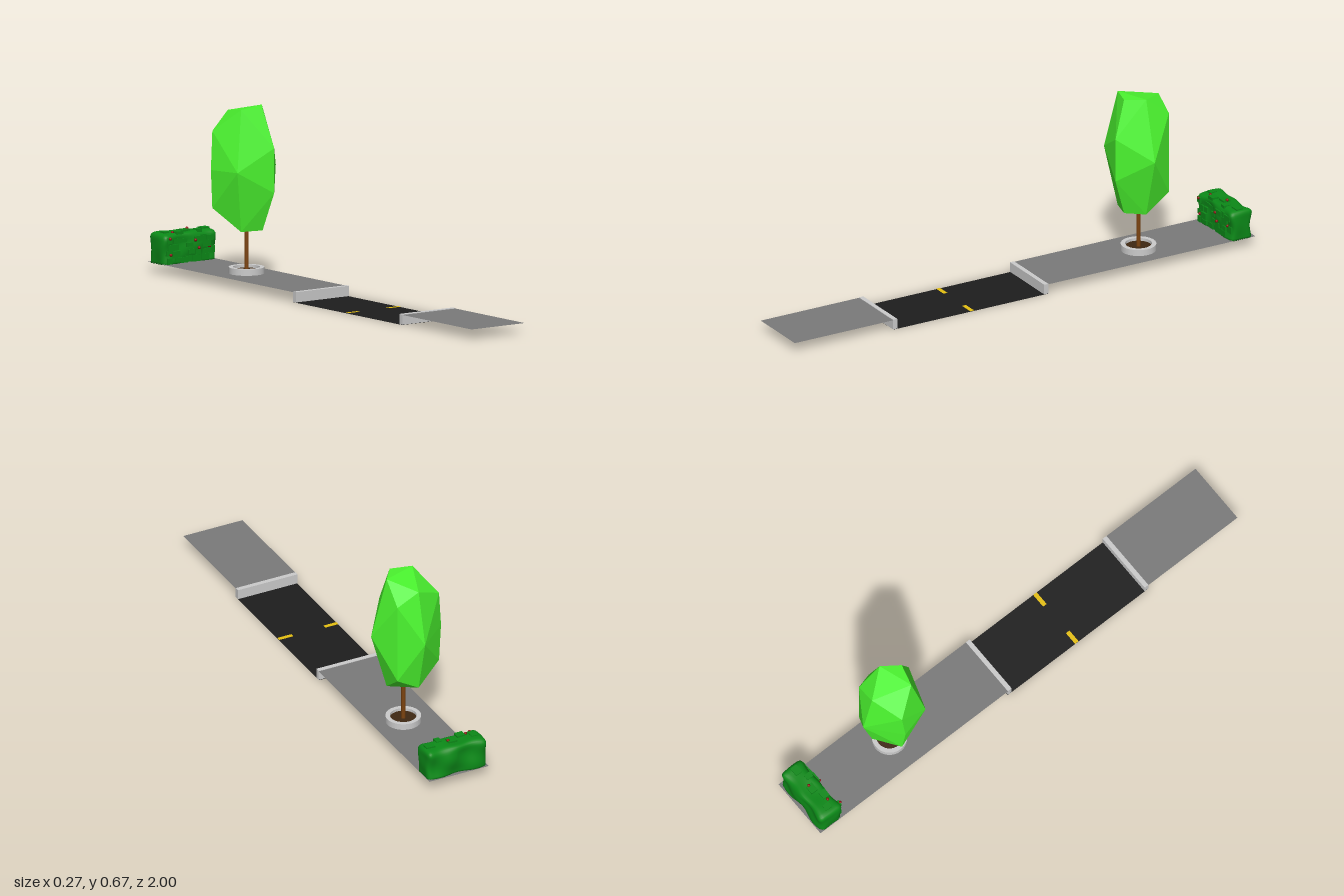
import * as THREE from 'three';
import { ConvexGeometry } from 'three/addons/geometries/ConvexGeometry.js';
import { mergeVertices } from 'three/addons/utils/BufferGeometryUtils.js';

const CX = -0.005, WIDTH = 0.25, LEVEL = 0.038;

function material(color, extra = {}) {
  const m = new THREE.MeshStandardMaterial(extra);
  m.color.setHex(color);
  return m;
}

function add(parent, name, geometry, mat, x = 0, y = 0, z = 0) {
  const mesh = new THREE.Mesh(geometry, mat);
  mesh.name = name;
  mesh.position.set(x, y, z);
  parent.add(mesh);
  return mesh;
}

// Flat strip of ground between two z values
function strip(parent, name, x0, x1, z0, z1, y, mat) {
  const g = new THREE.PlaneGeometry(x1 - x0, z1 - z0).rotateX(-Math.PI / 2);
  return add(parent, name, g, mat, (x0 + x1) / 2, y, (z0 + z1) / 2);
}

// Gentle lumps over the hedge surface
const wave = (x, y) => 0.004 * Math.sin(x * 48 + y * 25) + 0.003 * Math.sin(x * 27 - y * 60 + 1);

function hedgeBody() {
  const half = new THREE.Vector3(0.125, 0.058, 0.047), r = 0.02;
  let g = new THREE.BoxGeometry(half.x * 2, half.y * 2, half.z * 2, 28, 14, 12);
  g.deleteAttribute('uv');
  g.deleteAttribute('normal');
  g = mergeVertices(g);
  const p = g.attributes.position, v = new THREE.Vector3(), core = new THREE.Vector3();
  for (let i = 0; i < p.count; i++) {
    v.fromBufferAttribute(p, i);
    // Round the upper edges and uprights, leaving the foot square
    core.set(
      THREE.MathUtils.clamp(v.x, r - half.x, half.x - r),
      Math.min(v.y, half.y - r),
      THREE.MathUtils.clamp(v.z, r - half.z, half.z - r));
    const d = v.clone().sub(core);
    if (d.length() > r) v.copy(core).add(d.setLength(r));
    const up = (v.y + half.y) / (2 * half.y);
    v.z += wave(v.x, v.y) * Math.sign(v.z);
    v.y += up * wave(v.z + 0.1, v.x) * 0.4;
    v.x += 0.4 * wave(v.z, v.y) * Math.sign(v.x);
    p.setXYZ(i, v.x, v.y, v.z);
  }
  g.computeVertexNormals();
  return g;
}

function createHedge() {
  const hedge = new THREE.Group();
  hedge.name = 'hedge';
  hedge.position.set(CX, 0.094, -0.944);
  const green = material(0x0c8a18), red = material(0x8c1010);
  add(hedge, 'hedgeBody', hedgeBody(), green);

  let seed = 7;
  const rand = () => (seed = (seed * 16807) % 2147483647) / 2147483647;

  // Raised rectangular leaf clumps on the front
  for (let row = 0; row < 4; row++) {
    for (let col = 0; col < 7; col++) {
      const w = 0.02 + rand() * 0.022, h = 0.012 + rand() * 0.016;
      const x = -0.098 + col * 0.033 + (rand() - 0.5) * 0.014;
      const y = -0.044 + row * 0.025 + (rand() - 0.5) * 0.008;
      if (rand() < 0.2) continue;
      add(hedge, 'leafClump', new THREE.BoxGeometry(w, h, 0.01), green, x, y, 0.046 + wave(x, y));
    }
  }
  // Leaf clumps on the top
  for (let i = 0; i < 5; i++) {
    const x = -0.09 + i * 0.046;
    add(hedge, 'topLeafClump', new THREE.BoxGeometry(0.022 + rand() * 0.016, 0.012, 0.028),
      green, x, 0.057, (i % 2) * 0.022 + 0.004);
  }
  // Berries on the front, then along the top
  const berry = new THREE.SphereGeometry(0.0058, 12, 8);
  for (const [x, y] of [[-0.107, 0.135], [-0.102, 0.073], [0.013, 0.12], [0.028, 0.09], [0.086, 0.09]]) {
    add(hedge, 'berry', berry, red, x - CX, y - 0.094, 0.051 + wave(x - CX, y - 0.094));
  }
  for (const [x, y, z] of [[-0.073, 0.153, 0.024], [0.012, 0.158, 0.002], [0.103, 0.147, 0.014]]) {
    add(hedge, 'topBerry', berry, red, x - CX, y - 0.094, z);
  }
  return hedge;
}

function createTree() {
  const tree = new THREE.Group();
  tree.name = 'tree';
  tree.position.set(0.003, 0, -0.562);

  // Round planter with a hollow centre
  const ring = [[0.05, 0], [0.067, 0], [0.067, 0.024], [0.05, 0.024], [0.05, 0]]
    .map(([x, y]) => new THREE.Vector2(x, y));
  const profile = [];
  ring.forEach((p, i) => profile.push(p, ...(i && i < 4 ? [p.clone()] : [])));
  // Each wall is lathed on its own so the rims stay sharp
  for (let i = 0; i < 4; i++) {
    add(tree, 'planterRing', new THREE.LatheGeometry([ring[i], ring[i + 1]], 40),
      material(0xcccccc, { side: THREE.DoubleSide }), 0, LEVEL, 0);
  }
  add(tree, 'soil', new THREE.CylinderGeometry(0.051, 0.051, 0.012, 32), material(0x3f2812), 0, LEVEL + 0.007, 0);
  add(tree, 'trunk', new THREE.CylinderGeometry(0.008, 0.008, 0.2, 16), material(0x7c430f), 0, 0.14, 0);

  // Faceted crown: mid-height corners, plus corners mirrored above and below
  const mid = 0.437;
  const waist = [[0.135, -0.555], [-0.105, -0.476], [-0.137, -0.598], [-0.016, -0.703]];
  const mirrored = [
    [0.04, 0.085, -0.44], [0.07, 0.233, -0.556], [0.022, 0.23, -0.488],
    [-0.062, 0.231, -0.51], [-0.125, 0.146, -0.605], [0.074, 0.16, -0.652], [-0.012, 0.208, -0.658],
  ];
  const points = waist.map(([x, z]) => new THREE.Vector3(x, mid, z));
  for (const [x, dy, z] of mirrored) {
    for (const s of [-1, 1]) points.push(new THREE.Vector3(x, mid + s * dy, z));
  }
  add(tree, 'crown', new ConvexGeometry(points), material(0x4bf52f, { flatShading: true }), -0.003, 0, 0.562);
  return tree;
}

export function createModel() {
  const model = new THREE.Group();
  model.name = 'streetSection';
  const x0 = CX - WIDTH / 2, x1 = CX + WIDTH / 2;
  const paving = material(0x7a7a7a, { side: THREE.DoubleSide });
  const asphalt = material(0x1d1d1d, { side: THREE.DoubleSide });
  const yellow = material(0xe6c010);

  // Ground
  strip(model, 'backPavement', x0, x1, -1, -0.1, LEVEL, paving);
  strip(model, 'frontPavement', x0, x1, 0.57, 1, LEVEL, paving);
  strip(model, 'road', x0, x1, -0.102, 0.572, 0, asphalt);
  strip(model, 'laneDash', x0, -0.075, 0.221, 0.238, 0.002, yellow);
  strip(model, 'laneDash', 0.06, x1, 0.221, 0.238, 0.002, yellow);

  // Kerbs on both sides of the road
  for (const z of [-0.092, 0.564]) {
    add(model, 'kerb', new THREE.BoxGeometry(WIDTH, 0.039, 0.018), material(0xcccccc), CX, 0.0205, z);
  }

  model.add(createTree(), createHedge());
  return model;
}
